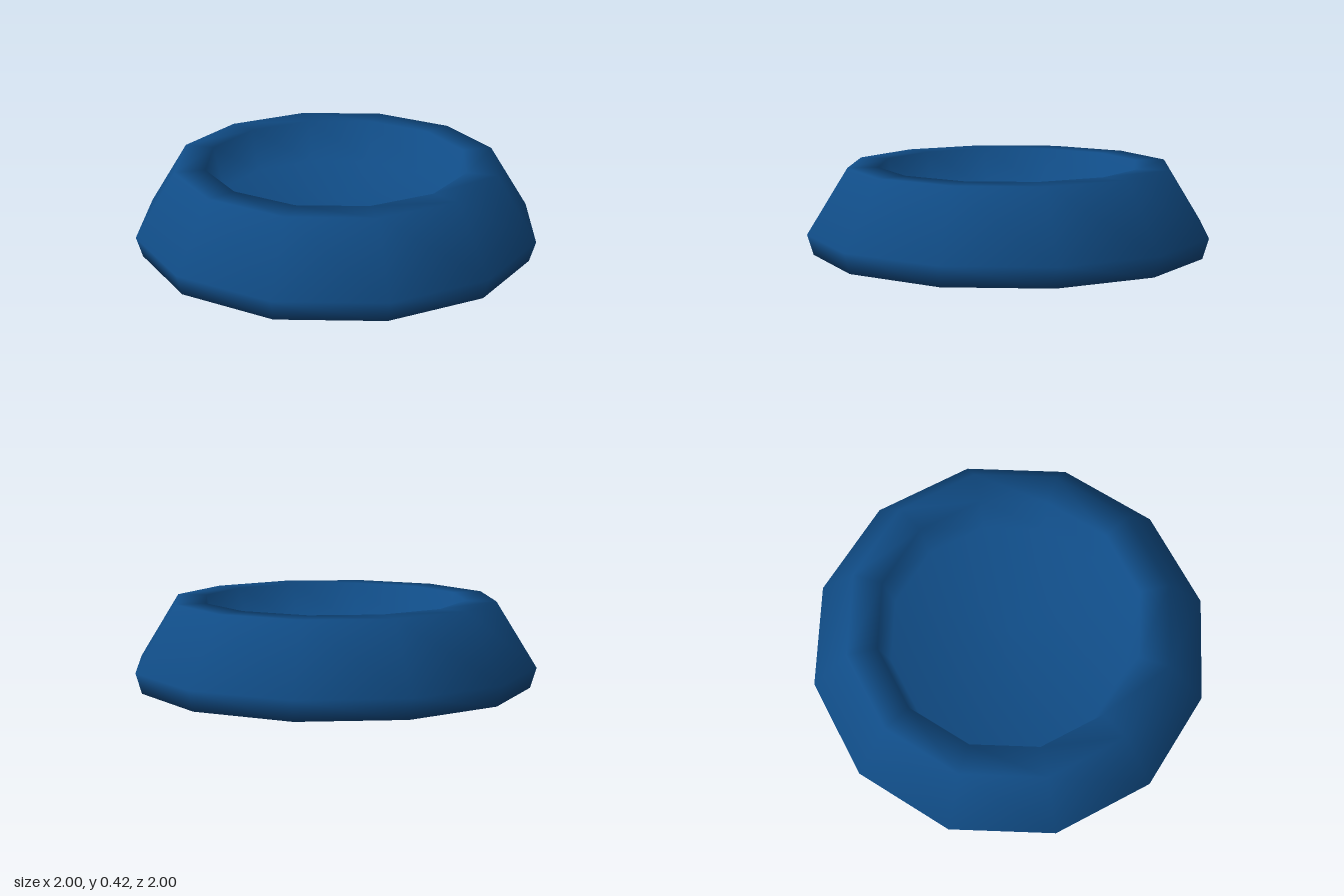
import * as THREE from 'three';

export function createModel() {
  const group = new THREE.Group();
  group.name = 'petBowl';

  // Closed profile: underside, foot, sloping side, flat rim, inner wall, floor
  const profile = [
    [0, 0], [0.97, 0], [1, 0.1], [0.8, 0.42],
    [0.65, 0.42], [0.6, 0.21], [0, 0.2],
  ].map(([r, y]) => new THREE.Vector2(r, y));

  // Twelve-sided, smooth-shaded bowl
  const bowl = new THREE.Mesh(
    new THREE.LatheGeometry(profile, 12),
    new THREE.MeshStandardMaterial({ color: 0x104c86 })
  );
  bowl.name = 'bowl';
  group.add(bowl);

  return group;
}
